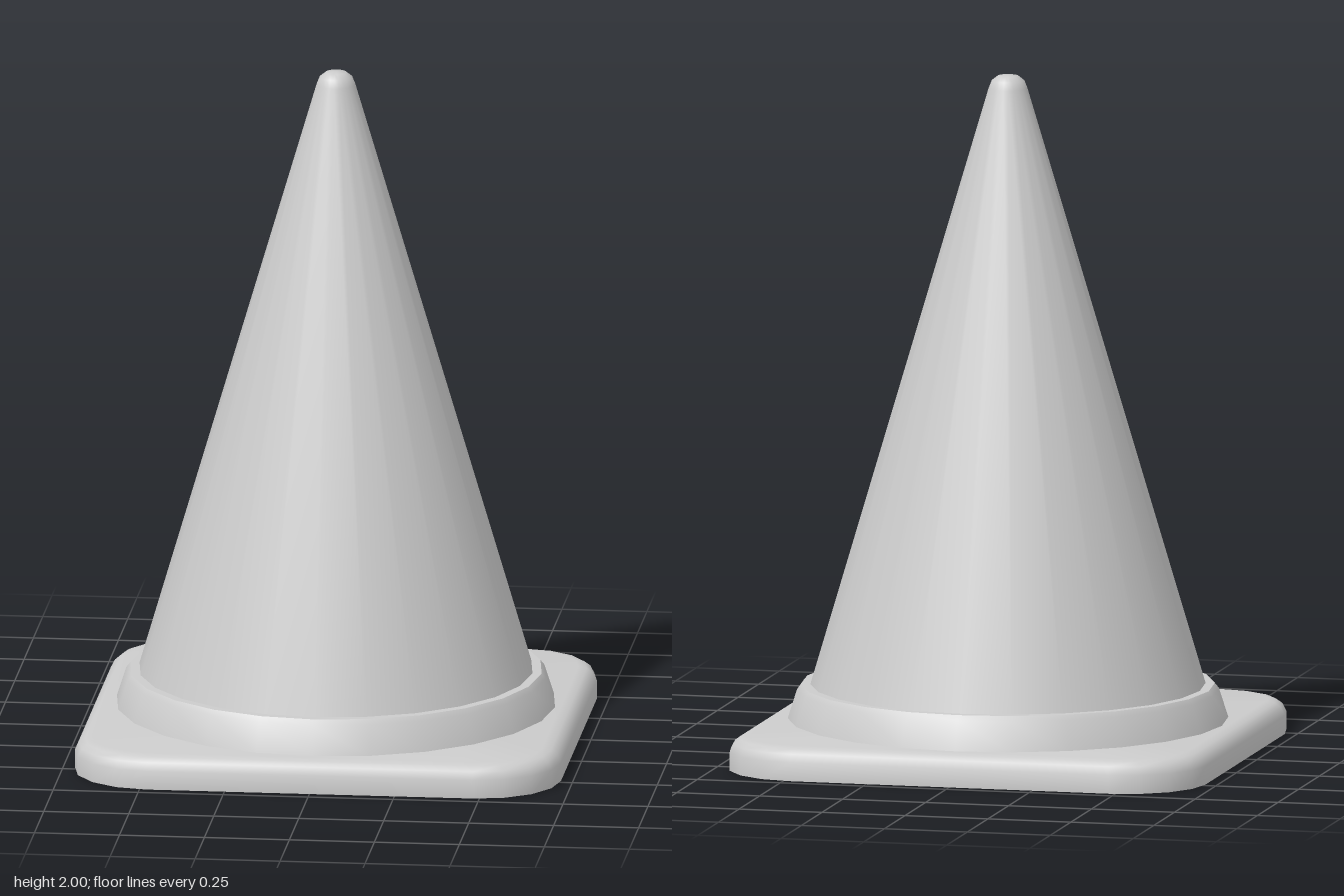
import * as THREE from 'three';
import { toCreasedNormals } from 'three/addons/utils/BufferGeometryUtils.js';

const material = new THREE.MeshStandardMaterial({ color: 0xcccccc });
const SIDES = 24;

function addMesh(group, name, geometry) {
  const mesh = new THREE.Mesh(geometry, material);
  mesh.name = name;
  group.add(mesh);
}

// Turned part with a sharp edge wherever the profile bends strongly
function turned(profile, crease) {
  const points = profile.map(([r, y]) => new THREE.Vector2(r, y));
  return toCreasedNormals(new THREE.LatheGeometry(points, SIDES), crease);
}

// Square outline with rounded corners, running anticlockwise from above
function roundedSquare(half, radius, y) {
  const ring = [];
  const c = half - radius;
  for (let corner = 0; corner < 4; corner++) {
    const mid = Math.PI / 4 + corner * Math.PI / 2;
    for (let i = 0; i <= 4; i++) {
      const a = corner * Math.PI / 2 + i * Math.PI / 8;
      ring.push([
        Math.sign(Math.cos(mid)) * c + radius * Math.cos(a),
        y,
        -Math.sign(Math.sin(mid)) * c - radius * Math.sin(a),
      ]);
    }
  }
  return ring;
}

// Stack of outlines joined by quads, closed at both ends
function loft(rings, crease) {
  const n = rings[0].length;
  const last = rings.length - 1;
  const positions = rings.flat(2);
  const index = [];
  const bottom = rings.length * n;
  const top = bottom + 1;
  positions.push(0, rings[0][0][1], 0, 0, rings[last][0][1], 0);
  for (let i = 0; i < n; i++) {
    const j = (i + 1) % n;
    for (let k = 0; k < last; k++) {
      const a = k * n + i, b = k * n + j;
      index.push(a, b, b + n, a, b + n, a + n);
    }
    index.push(bottom, j, i, top, last * n + i, last * n + j);
  }
  const geometry = new THREE.BufferGeometry();
  geometry.setAttribute('position', new THREE.Float32BufferAttribute(positions, 3));
  geometry.setIndex(index);
  return toCreasedNormals(geometry, crease);
}

export function createModel() {
  const group = new THREE.Group();
  group.name = 'trafficCone';

  // Square foot: flat underside, rounded upper rim
  const rim = [[0, 0], [0, 0.055], [0.012, 0.078], [0.03, 0.091], [0.055, 0.096]];
  addMesh(group, 'base', loft(
    rim.map(([inset, y]) => roundedSquare(0.715 - inset, 0.235 - inset, y)), 0.8));

  // Sloped collar around the foot of the cone
  addMesh(group, 'collar', turned(
    [[0.645, 0.094], [0.617, 0.182], [0.605, 0.197], [0.57, 0.197]], 0.8));

  // Tapering body with a small rounded tip
  addMesh(group, 'coneBody', turned(
    [[0.583, 0.18], [0.057, 1.96], [0.048, 1.983], [0.03, 1.997], [0, 2]], 1.0));

  return group;
}
